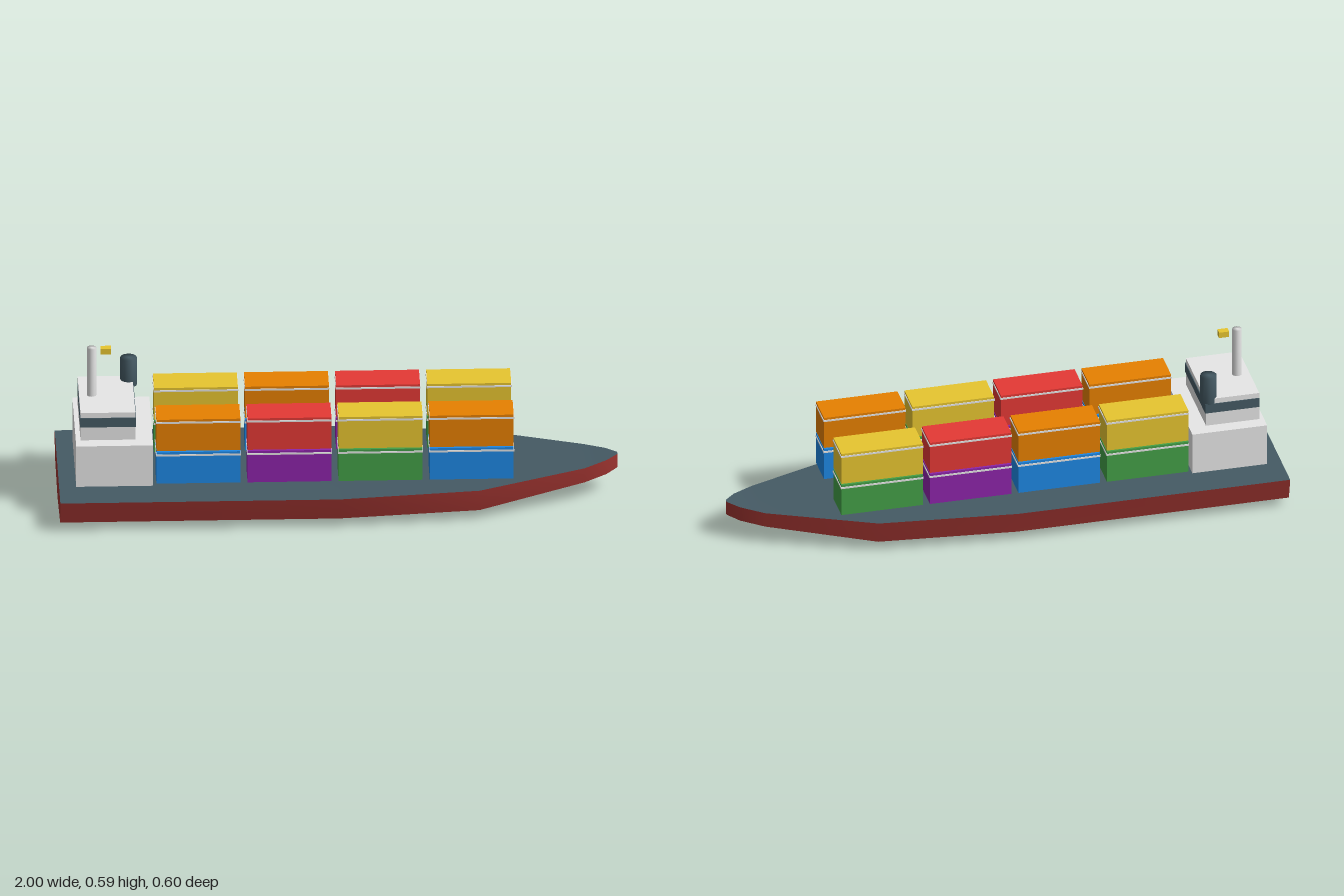
import * as THREE from 'three';
import { mergeVertices } from 'three/addons/utils/BufferGeometryUtils.js';

const mat = (name, color) => {
  const m = new THREE.MeshStandardMaterial({ color });
  m.name = name;
  return m;
};

// Skin between stations; each station is a row of [x, y, z] points
function loft(rows) {
  const pos = [];
  for (let i = 0; i + 1 < rows.length; i++) {
    const a = rows[i], b = rows[i + 1];
    for (let j = 0; j + 1 < a.length; j++) {
      pos.push(a[j], a[j + 1], b[j + 1], a[j], b[j + 1], b[j]);
    }
  }
  return smooth(pos);
}

// Flat end cap over a row of points
function fan(row) {
  const pos = [];
  for (let j = 1; j + 1 < row.length; j++) pos.push(row[0], row[j], row[j + 1]);
  return smooth(pos);
}

// Welded geometry with shared normals
function smooth(points) {
  const g = new THREE.BufferGeometry();
  g.setAttribute('position', new THREE.Float32BufferAttribute(points.flat(), 3));
  const welded = mergeVertices(g);
  welded.computeVertexNormals();
  return welded;
}

// Cylinder whose shading rolls over its rims
function softCylinder(radius, height) {
  const g = new THREE.CylinderGeometry(radius, radius, height, 12);
  g.deleteAttribute('uv');
  g.deleteAttribute('normal');
  const welded = mergeVertices(g);
  welded.computeVertexNormals();
  return welded;
}

export function createModel() {
  const ship = new THREE.Group();
  ship.name = 'cargoShip';

  const hullRed = mat('hullRed', 0x9e3430);
  const keelRed = mat('keelRed', 0x642826);
  const slate = mat('slate', 0x455a64);
  const white = mat('white', 0xe8e8e8);
  const orange = mat('orange', 0xfb8c00);
  const red = mat('red', 0xe53935);
  const yellow = mat('yellow', 0xfdd835);
  const blue = mat('blue', 0x1e88e5);
  const purple = mat('purple', 0x8e24aa);
  const green = mat('green', 0x43a047);

  const add = (name, geometry, material, x, y, z, parent = ship) => {
    const m = new THREE.Mesh(geometry, material);
    m.name = name;
    m.position.set(x, y, z);
    parent.add(m);
  };
  // Box given by its minimum and maximum corners
  const box = (name, material, [x0, y0, z0], [x1, y1, z1], parent) =>
    add(name, new THREE.BoxGeometry(x1 - x0, y1 - y0, z1 - z0), material,
      (x0 + x1) / 2, (y0 + y1) / 2, (z0 + z1) / 2, parent);

  // Hull stations: x, deck half width, deck y, chine half width, chine y, keel y
  const stations = [
    [-1, 0.3, 0.12, 0.28, 0.035, 0],
    [0, 0.3, 0.12, 0.28, 0.035, 0],
    [0.5, 0.25, 0.122, 0.237, 0.039, 0.012],
    [0.88, 0.1, 0.132, 0.093, 0.073, 0.064],
    [0.96, 0.05, 0.139, 0.046, 0.082, 0.079],
    [1, 0.008, 0.143, 0.008, 0.09, 0.089],
  ];
  const sections = stations.map(([x, dw, dy, cw, cy, ky]) =>
    [[x, dy, dw], [x, cy, cw], [x, ky, 0], [x, cy, -cw], [x, dy, -dw]]);
  const strake = (from, to) => loft(sections.map((s) => s.slice(from, to)));
  add('leftHullSide', strake(0, 2), hullRed, 0, 0, 0);
  add('rightHullSide', strake(3, 5), hullRed, 0, 0, 0);
  add('hullBottom', strake(1, 4), keelRed, 0, 0, 0);
  add('transom', fan([...sections[0]].reverse()), hullRed, 0, 0, 0);
  add('stem', fan(sections[sections.length - 1]), hullRed, 0, 0, 0);

  // Deck, closing the hull
  add('deck', loft(stations.map(([x, dw, dy]) => [[x, dy, -dw], [x, dy, dw]])), slate, 0, 0, 0);

  // Superstructure with bridge, window band, mast, flag and funnel
  const house = new THREE.Group();
  house.name = 'superstructure';
  ship.add(house);
  box('accommodation', white, [-0.94, 0.137, -0.2], [-0.665, 0.297, 0.2], house);
  box('bridge', white, [-0.923, 0.297, -0.15], [-0.727, 0.405, 0.15], house);
  box('bridgeWindows', slate, [-0.924, 0.349, -0.153], [-0.724, 0.385, 0.153], house);
  add('mast', softCylinder(0.0175, 0.187), white, -0.878, 0.4985, 0, house);
  box('flag', yellow, [-0.846, 0.57, -0.013], [-0.809, 0.592, 0.013], house);
  add('funnel', softCylinder(0.03, 0.107), slate, -0.742, 0.4375, -0.125, house);

  // Container stacks: colours from stern to bow, for each row and tier
  const rows = [
    { side: 1, tiers: [[blue, purple, green, blue], [orange, red, yellow, orange]] },
    { side: -1, tiers: [[green, blue, purple, green], [yellow, orange, red, yellow]] },
  ];
  const bodyShape = new THREE.BoxGeometry(0.3, 0.124, 0.12);
  const trimShape = new THREE.BoxGeometry(0.304, 0.007, 0.124);
  for (const { side, tiers } of rows) {
    tiers.forEach((colours, tier) => colours.forEach((colour, i) => {
      const container = new THREE.Group();
      container.name = 'container';
      container.position.set(-0.503 + i * 0.3255, 0.202 + tier * 0.129, side * 0.13);
      ship.add(container);
      add('containerBody', bodyShape, colour, 0, 0, 0, container);
      add('containerTrim', trimShape, white, 0, 0.05, 0, container);
    }));
  }
  return ship;
}
